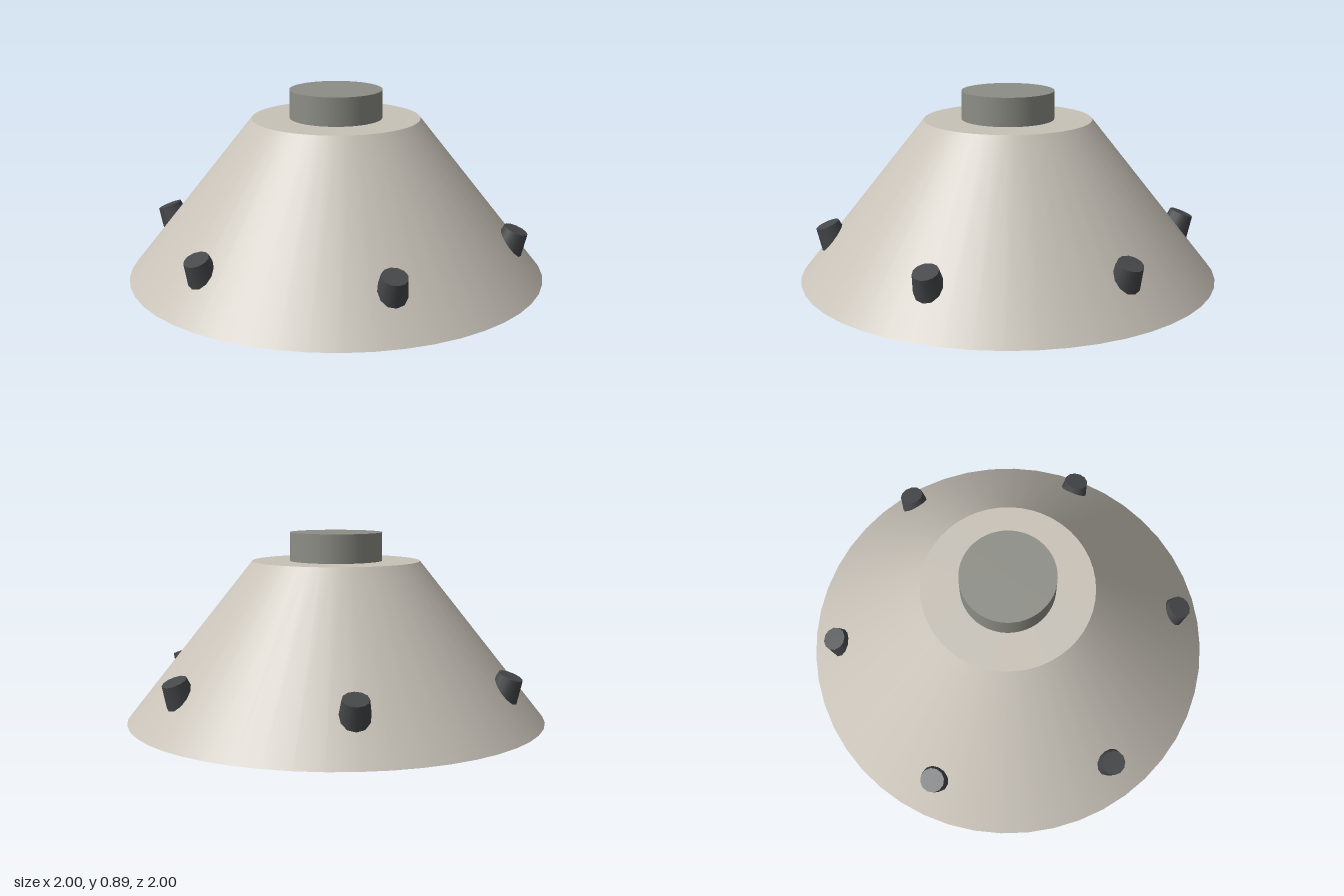
import * as THREE from 'three';

export function createModel() {
  const group = new THREE.Group();
  const shellMat = new THREE.MeshStandardMaterial({ name: 'warm grey', color: 0xc8c2b8 });
  const capMat = new THREE.MeshStandardMaterial({ name: 'mid grey', color: 0x8e8e87 });
  const pegMat = new THREE.MeshStandardMaterial({ name: 'charcoal', color: 0x454749 });

  // Upright cylinder or cone standing on height y
  const addDrum = (name, rTop, rBottom, height, y, material) => {
    const mesh = new THREE.Mesh(new THREE.CylinderGeometry(rTop, rBottom, height, 48), material);
    mesh.name = name;
    mesh.position.y = y + height / 2;
    group.add(mesh);
  };
  addDrum('coneBody', 0.4, 1, 0.755, 0, shellMat);
  addDrum('topCap', 0.22, 0.22, 0.14, 0.75, capMat);

  // Six tapered pegs leaning outward; the origin is the centre of the peg's top
  const pegLength = 0.14;
  const pegGeometry = new THREE.CylinderGeometry(0.058, 0.077, pegLength, 12);
  pegGeometry.translate(0, -pegLength / 2, 0);
  pegGeometry.rotateZ(-0.37);
  pegGeometry.translate(0.866, 0.262, 0);
  for (let i = 0; i < 6; i++) {
    const peg = new THREE.Mesh(pegGeometry, pegMat);
    peg.name = `peg${i + 1}`;
    peg.rotation.y = (i * Math.PI) / 3;
    group.add(peg);
  }
  return group;
}
